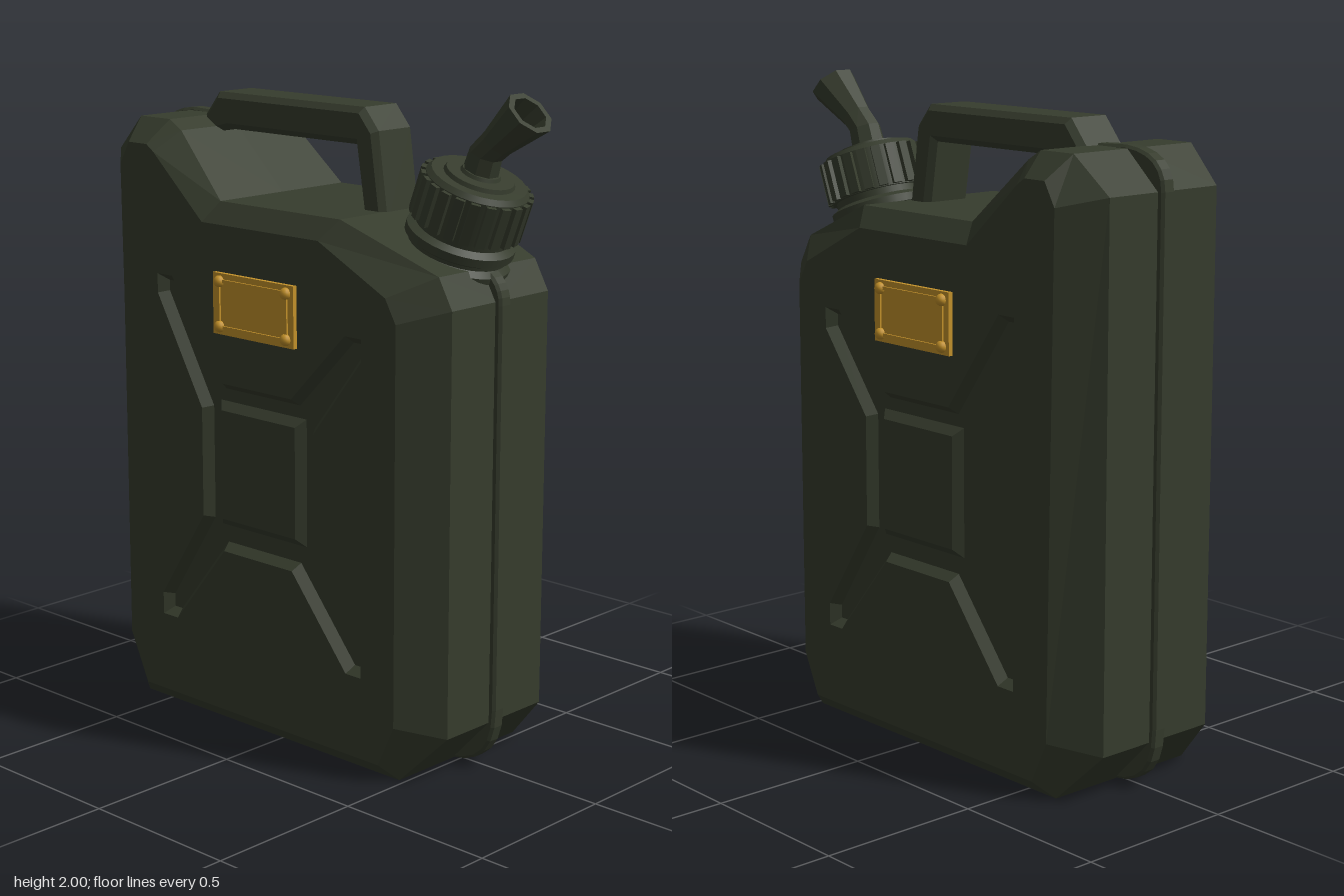
import * as THREE from 'three';

const green = new THREE.MeshStandardMaterial({ color: 0x363c2d });
green.name = 'olive green';
const gold = new THREE.MeshStandardMaterial({ color: 0xc4922a });
gold.name = 'brass';

const V3 = (x, y, z) => new THREE.Vector3(x, y, z);
const poly = (pts) => pts.map(([x, y]) => new THREE.Vector2(x, y));
const atZ = (pts, z) => pts.map((p) => V3(p.x, p.y, z));

// Triangles joining consecutive closed loops (counter-clockwise seen from the last loop)
function loft(loops) {
  const tris = [];
  for (let k = 0; k + 1 < loops.length; k++) {
    const a = loops[k], b = loops[k + 1];
    a.forEach((p, i) => {
      const j = (i + 1) % a.length;
      tris.push(p, a[j], b[j], p, b[j], b[i]);
    });
  }
  return tris;
}

// Flat face at height z, with optional holes
function face(outline, holes, z) {
  const all = [outline, ...holes].flat();
  return THREE.ShapeUtils.triangulateShape(outline, holes).flat().map((i) => V3(all[i].x, all[i].y, z));
}

// Moves a counter-clockwise polygon inward by d
function inset(pts, d) {
  const n = pts.length;
  return pts.map((p, i) => {
    const u = p.clone().sub(pts[(i + n - 1) % n]).normalize();
    const v = pts[(i + 1) % n].clone().sub(p).normalize();
    const a = new THREE.Vector2(-u.y, u.x), b = new THREE.Vector2(-v.y, v.x);
    return p.clone().addScaledVector(a.clone().add(b), d / (1 + a.dot(b)));
  });
}

function fromTriangles(tris) {
  const g = new THREE.BufferGeometry().setFromPoints(tris);
  g.computeVertexNormals();
  return g;
}

function add(parent, name, geometry, material = green) {
  const m = new THREE.Mesh(geometry, material);
  m.name = name;
  parent.add(m);
  return m;
}

function extrude(shape, depth, bevel) {
  const g = new THREE.ExtrudeGeometry(shape, {
    depth: depth - 2 * bevel, bevelEnabled: bevel > 0, bevelThickness: bevel,
    bevelSize: bevel, bevelOffset: -bevel, bevelSegments: 1, curveSegments: 6,
  });
  return g.translate(0, 0, bevel - depth / 2);
}

// Half of the can: x, y, z of the side edge, then x, y of the matching face corner
function bodyHalf() {
  const rim = [
    [-0.61, 0, 0.26, -0.56, 0.05], [0.48, 0, 0.26, 0.44, 0.05],
    [0.62, 0.15, 0.21, 0.5, 0.18], [0.62, 1.41, 0.21, 0.5, 1.37],
    [0.57, 1.5, 0.21, 0.46, 1.44], [0.24, 1.63, 0.26, 0.2, 1.57],
    [-0.25, 1.63, 0.26, -0.28, 1.57], [-0.45, 1.82, 0.23, -0.49, 1.76],
    [-0.5, 1.85, 0.23, -0.52, 1.78], [-0.63, 1.85, 0.23, -0.6, 1.78],
    [-0.75, 1.74, 0.21, -0.64, 1.71], [-0.75, 0.15, 0.21, -0.62, 0.18],
  ];
  const front = poly(rim.map((r) => [r[3], r[4]]));
  // Pressed cross with a square pad in the middle
  const cross = poly([
    [-0.2, 0.565], [0.09, 0.565], [0.31, 0.3], [0.37, 0.3], [0.37, 0.37],
    [0.18, 0.66], [0.18, 1.0], [0.37, 1.245], [0.37, 1.31], [0.305, 1.31],
    [0.09, 1.09], [-0.2, 1.09], [-0.415, 1.39], [-0.48, 1.39], [-0.48, 1.33],
    [-0.29, 1.0], [-0.29, 0.66], [-0.48, 0.37], [-0.48, 0.3], [-0.415, 0.3],
  ]);
  const floor = inset(cross, 0.022);
  const pad = poly([[-0.235, 0.64], [0.125, 0.64], [0.125, 1.03], [-0.235, 1.03]]);
  const padTop = inset(pad, 0.025);
  return [
    ...loft([rim.map((r) => V3(r[0], r[1], 0)), rim.map((r) => V3(r[0], r[1], r[2])), atZ(front, 0.31)]),
    ...face(front, [cross], 0.31),
    ...loft([atZ(cross, 0.31), atZ(floor, 0.28)]),
    ...face(floor, [pad], 0.28),
    ...loft([atZ(pad, 0.28), atZ(padTop, 0.305)]),
    ...face(padTop, [], 0.305),
  ];
}

// Eight-sided ring in a plane tilted towards +x
function ring(x, y, tilt, r) {
  return Array.from({ length: 8 }, (_, i) => {
    const a = ((i + 0.5) / 8) * Math.PI * 2;
    return V3(Math.cos(a) * r, 0, -Math.sin(a) * r)
      .applyAxisAngle(V3(0, 0, 1), -tilt).add(V3(x, y, 0));
  });
}

function lathe(profile, sides = 32) {
  const parts = [];
  // Separate bands keep the edges between them sharp
  for (let i = 0; i + 1 < profile.length; i++) {
    parts.push(new THREE.LatheGeometry(poly([profile[i], profile[i + 1]]), sides));
  }
  return parts;
}

function createModel() {
  const model = new THREE.Group();
  model.name = 'fuelCan';

  // Body, mirrored front to back
  const half = bodyHalf();
  const back = [...half].reverse().map((p) => V3(p.x, p.y, -p.z));
  add(model, 'body', fromTriangles([...half, ...back]));

  // Weld seam running round the sides
  const seam = new THREE.Shape();
  seam.moveTo(-0.6, 0).lineTo(0.47, 0).quadraticCurveTo(0.64, 0.01, 0.64, 0.19)
    .lineTo(0.64, 1.4).quadraticCurveTo(0.64, 1.47, 0.57, 1.505)
    .lineTo(0.3, 1.5).lineTo(-0.4, 1.5).lineTo(-0.5, 1.855).lineTo(-0.62, 1.86)
    .quadraticCurveTo(-0.77, 1.85, -0.77, 1.74)
    .lineTo(-0.77, 0.19).quadraticCurveTo(-0.77, 0.01, -0.6, 0);
  add(model, 'seam', extrude(seam, 0.05, 0.008));

  // Carrying handle
  const handle = new THREE.Shape(poly([
    [-0.52, 1.8], [-0.52, 1.84], [-0.45, 1.925], [0.155, 1.925], [0.21, 1.86], [0.247, 1.6],
    [0.16, 1.6], [0.125, 1.815], [-0.4, 1.815], [-0.46, 1.8],
  ]));
  add(model, 'handle', extrude(handle, 0.17, 0.018));

  // Neck and screw cap on the sloping shoulder
  const filler = new THREE.Group();
  filler.name = 'filler';
  filler.position.set(0.448, 1.527, 0);
  filler.rotation.z = -0.365;
  model.add(filler);
  lathe([[0.165, -0.08], [0.165, 0.005], [0.148, 0.02], [0.148, 0.03], [0.162, 0.038],
    [0.162, 0.062], [0.14, 0.075], [0.14, 0.1]]).forEach((g) => add(filler, 'neck', g));
  lathe([[0.13, 0.095], [0.152, 0.095], [0.152, 0.225], [0.14, 0.24], [0.105, 0.24],
    [0.1, 0.252], [0.06, 0.252], [0.055, 0.262], [0, 0.262]]).forEach((g) => add(filler, 'cap', g));
  for (let i = 0; i < 22; i++) {
    const a = (i / 22) * Math.PI * 2;
    const rib = add(filler, 'capRib', new THREE.BoxGeometry(0.025, 0.125, 0.028));
    rib.position.set(Math.cos(a) * 0.153, 0.16, Math.sin(a) * 0.153);
    rib.rotation.y = -a;
  }

  // Bent pouring spout with an open end
  const spout = [
    ring(0.525, 1.73, 0.365, 0.056), ring(0.556, 1.82, 0.4, 0.05), ring(0.597, 1.855, 0.75, 0.048),
    ring(0.712, 1.947, 0.785, 0.074), ring(0.712, 1.947, 0.785, 0.055),
    ring(0.62, 1.872, 0.785, 0.038), ring(0.62, 1.872, 0.785, 0.0005),
  ];
  add(model, 'spout', fromTriangles(loft(spout)));

  // Riveted name plates, front and back
  for (const side of [1, -1]) {
    const plate = new THREE.Group();
    plate.name = side > 0 ? 'frontPlate' : 'backPlate';
    plate.position.set(-0.052, 1.337, side * 0.31);
    model.add(plate);
    add(plate, 'plate', new THREE.BoxGeometry(0.335, 0.185, 0.02), gold).position.z = side * 0.004;
    for (const s of [1, -1]) {
      add(plate, 'plateEdge', new THREE.BoxGeometry(0.27, 0.01, 0.008), gold).position.set(0, s * 0.07, side * 0.016);
      add(plate, 'plateEdge', new THREE.BoxGeometry(0.01, 0.13, 0.008), gold).position.set(s * 0.14, 0, side * 0.016);
      for (const t of [1, -1]) {
        const rivet = add(plate, 'rivet', new THREE.SphereGeometry(0.018, 12, 8), gold);
        rivet.position.set(s * 0.138, t * 0.068, side * 0.016);
      }
    }
  }
  return model;
}

export { createModel };
